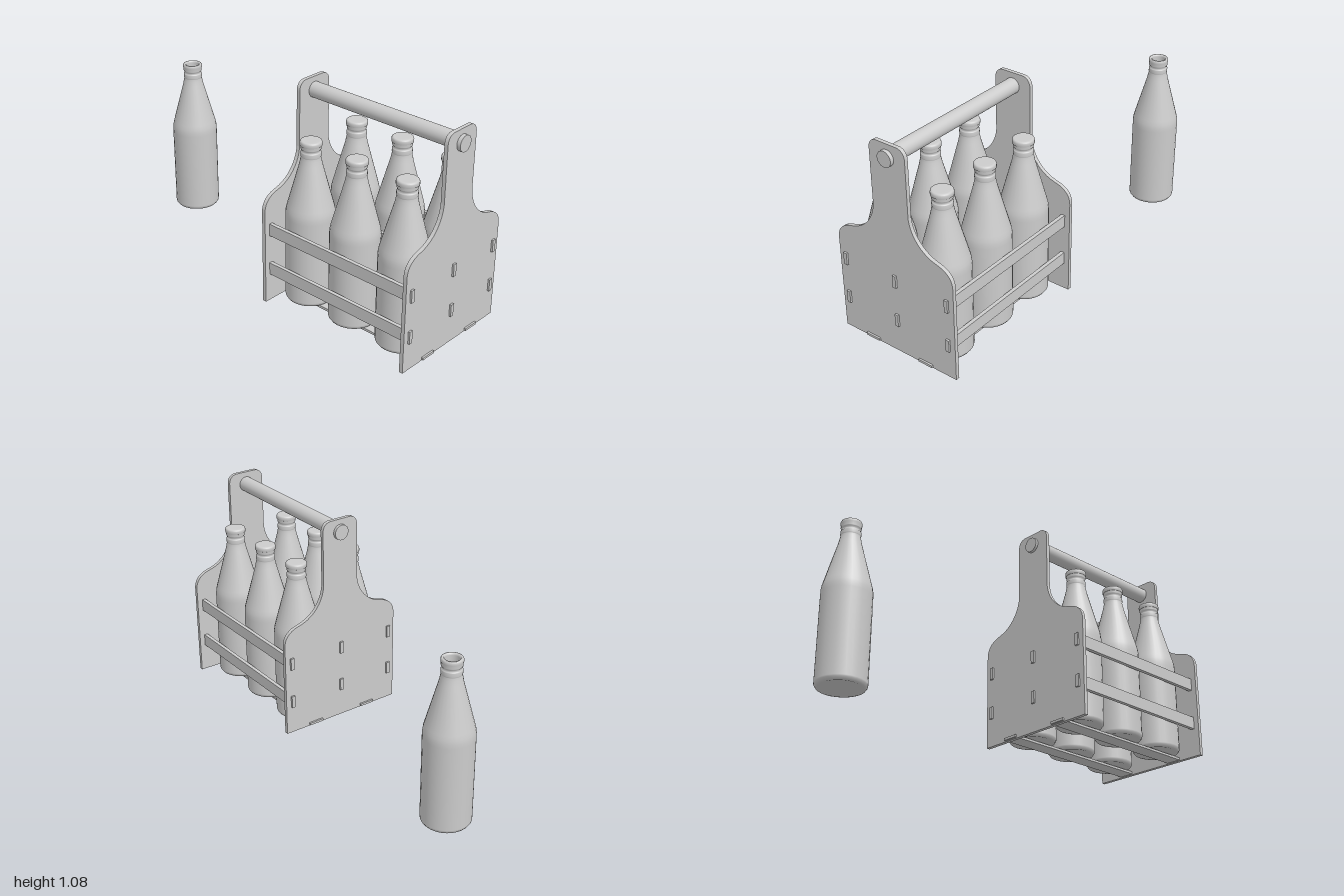
import * as THREE from 'three';

const grey = new THREE.MeshStandardMaterial({ color: 0xcccccc });

function add(parent, name, geometry, x = 0, y = 0, z = 0) {
  const mesh = new THREE.Mesh(geometry, grey);
  mesh.name = name;
  mesh.position.set(x, y, z);
  parent.add(mesh);
  return mesh;
}

const lathe = (pts) => new THREE.LatheGeometry(pts.map(([r, y]) => new THREE.Vector2(r, y)), 28);

// Glass bottle: outer wall up to the lip, then the inner wall back down
const bottleGeometry = lathe([
  [0, 0.012], [0.085, 0.004], [0.1, 0], [0.11, 0.002], [0.117, 0.012], [0.118, 0.02],
  [0.118, 0.44], [0.1175, 0.46], [0.115, 0.478], [0.11, 0.498],
  [0.054, 0.705], [0.049, 0.73], [0.046, 0.742],
  [0.047, 0.745], [0.048, 0.748], [0.048, 0.765], [0.046, 0.768],
  [0.043, 0.771], [0.043, 0.778], [0.047, 0.782], [0.048, 0.786],
  [0.048, 0.8], [0.05, 0.803], [0.05, 0.813], [0.047, 0.819], [0.043, 0.82],
  [0.036, 0.818], [0.034, 0.81], [0.034, 0.74], [0.044, 0.7],
  [0.1, 0.495], [0.108, 0.45], [0.108, 0.02], [0, 0.02],
]);

// Cap that closes the bottles in the carrier
const capGeometry = lathe([
  [0.048, 0.798], [0.052, 0.8], [0.052, 0.814], [0.05, 0.82], [0.046, 0.823], [0.04, 0.824], [0, 0.824],
]);

function bottle(name, x, y, z, capped) {
  const group = new THREE.Group();
  group.name = name;
  add(group, 'bottleGlass', bottleGeometry);
  if (capped) add(group, 'bottleCap', capGeometry);
  group.position.set(x, y, z);
  return group;
}

// End panel outline, drawn across z and y
function panelGeometry() {
  const s = new THREE.Shape();
  s.moveTo(-0.333, 0.01);
  s.lineTo(0.333, 0.01);
  s.lineTo(0.333, 0.495);
  s.bezierCurveTo(0.333, 0.545, 0.3, 0.575, 0.245, 0.587);
  s.bezierCurveTo(0.165, 0.605, 0.107, 0.675, 0.1, 0.755);
  s.lineTo(0.1, 1.032);
  s.bezierCurveTo(0.1, 1.06, 0.082, 1.08, 0.055, 1.08);
  s.lineTo(-0.055, 1.08);
  s.bezierCurveTo(-0.082, 1.08, -0.1, 1.06, -0.1, 1.032);
  s.lineTo(-0.1, 0.755);
  s.bezierCurveTo(-0.107, 0.675, -0.165, 0.605, -0.245, 0.587);
  s.bezierCurveTo(-0.3, 0.575, -0.333, 0.545, -0.333, 0.495);
  s.closePath();
  return new THREE.ExtrudeGeometry(s, { depth: 0.019, bevelEnabled: false, curveSegments: 10 })
    .translate(0, 0, -0.0095)
    .rotateY(Math.PI / 2);
}

export function createModel() {
  const model = new THREE.Group();
  model.name = 'bottleCarrierSet';
  const carrier = new THREE.Group();
  carrier.name = 'carrier';
  model.add(carrier);
  const midX = 0.553;

  // End panels
  const panel = panelGeometry();
  add(carrier, 'rightEndPanel', panel, 0.134);
  add(carrier, 'leftEndPanel', panel, 0.972);

  // Round handle bar through both panels
  add(carrier, 'handle', new THREE.CylinderGeometry(0.0385, 0.0385, 0.89, 32).rotateZ(Math.PI / 2), 0.555, 1.015, 0);

  // Side and middle slats, two levels each
  const slat = new THREE.BoxGeometry(0.876, 0.062, 0.019);
  for (const z of [-0.296, 0, 0.296]) {
    for (const y of [0.185, 0.395]) add(carrier, z ? 'sideSlat' : 'middleSlat', slat, midX, y, z);
  }

  // Bottom slats and the six bottles standing on them
  const floorSlat = new THREE.BoxGeometry(0.876, 0.012, 0.079);
  for (const z of [-0.159, 0.159]) {
    add(carrier, 'bottomSlat', floorSlat, midX, 0.021, z);
    for (const x of [0.27, 0.545, 0.829]) model.add(bottle('cappedBottle', x, 0.028, z, true));
  }

  // Open bottle standing apart
  model.add(bottle('openBottle', -0.882, 0, -0.16, false));
  return model;
}
